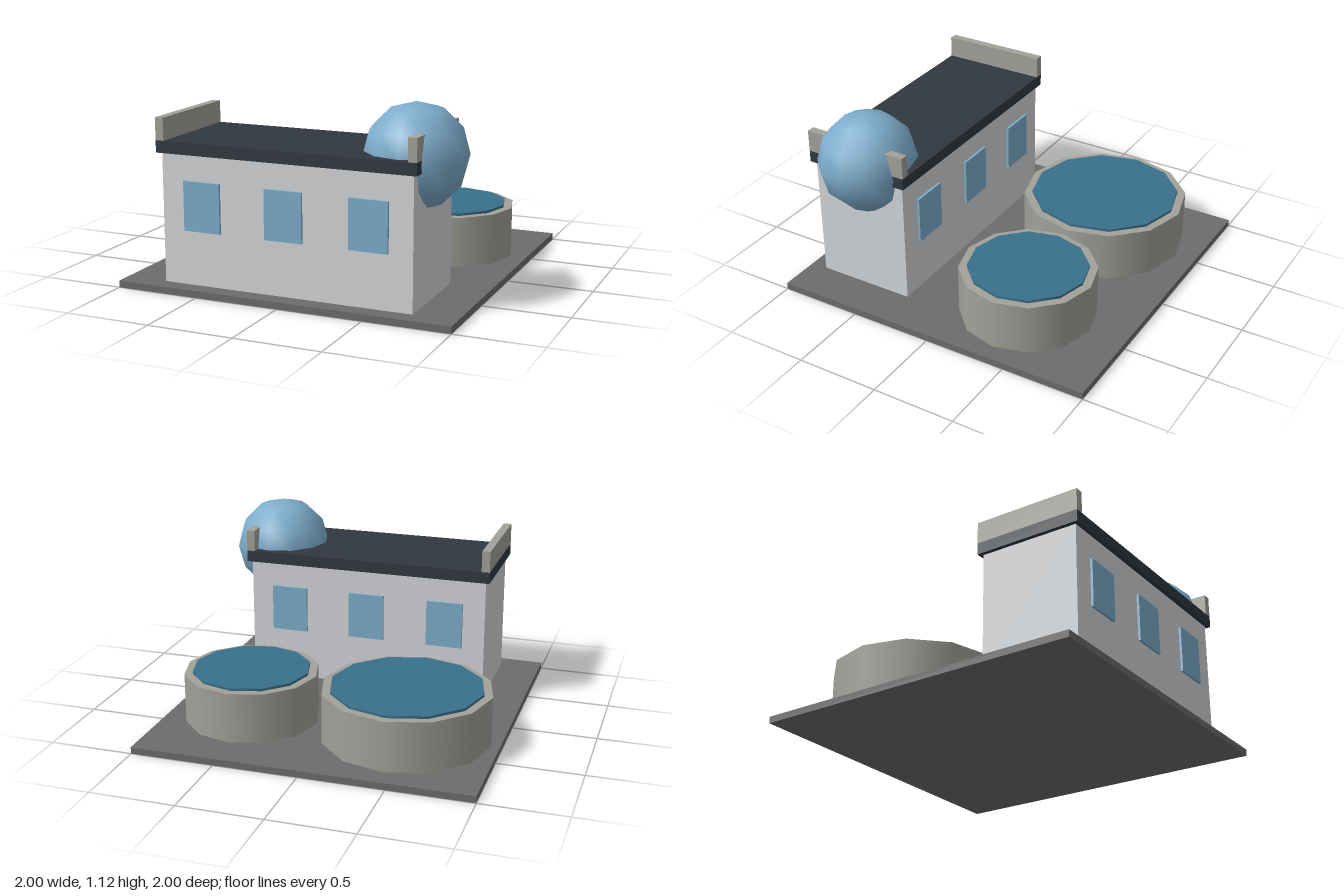
import * as THREE from 'three';

export function createModel() {
  const group = new THREE.Group();
  group.name = 'treatmentPlant';

  const mat = (name, color) => {
    const m = new THREE.MeshStandardMaterial({ color });
    m.name = name;
    return m;
  };
  const asphalt = mat('asphaltGrey', 0x6c6c6c);
  const wall = mat('wallGrey', 0xd2d5d8);
  const roofDark = mat('roofSlate', 0x30383f);
  const concrete = mat('concrete', 0xa2a199);
  const blue = mat('lightBlue', 0x7dadcc);
  const water = mat('waterBlue', 0x39708a);

  const add = (name, geometry, material, x, y, z) => {
    const mesh = new THREE.Mesh(geometry, material);
    mesh.name = name;
    mesh.position.set(x, y, z);
    group.add(mesh);
  };
  // Box standing on height y
  const box = (name, w, h, d, material, x, y, z) =>
    add(name, new THREE.BoxGeometry(w, h, d), material, x, y + h / 2, z);

  // Ground slab
  box('groundSlab', 2, 0.04, 2, asphalt, 0, 0, 0);

  // Building with overhanging roof
  box('buildingWalls', 1.5, 0.75, 0.6, wall, 0, 0.04, 0.6);
  box('roof', 1.55, 0.07, 0.65, roofDark, 0, 0.79, 0.6);

  // Parapets at both roof ends
  for (const side of [-1, 1]) {
    box('parapet', 0.05, 0.13, 0.65, concrete, side * 0.75, 0.86, 0.6);
  }

  // Three windows on the front and the back
  for (const z of [0.9075, 0.2925]) {
    for (const x of [-0.5, 0, 0.5]) {
      box('window', 0.225, 0.285, 0.015, blue, x, 0.355, z);
    }
  }

  // Dome ball set into the roof end
  add('dome', new THREE.SphereGeometry(0.295, 12, 6), blue, 0.65, 0.83, 0.6);

  // Round water tanks: [x, radius]
  for (const [x, r] of [[-0.45, 0.5], [0.5, 0.4]]) {
    add('tank', new THREE.CylinderGeometry(r, r, 0.3, 12), concrete, x, 0.19, -0.375);
    add('tankWater', new THREE.CylinderGeometry(r - 0.05, r - 0.05, 0.015, 12), water, x, 0.3475, -0.375);
  }

  return group;
}
